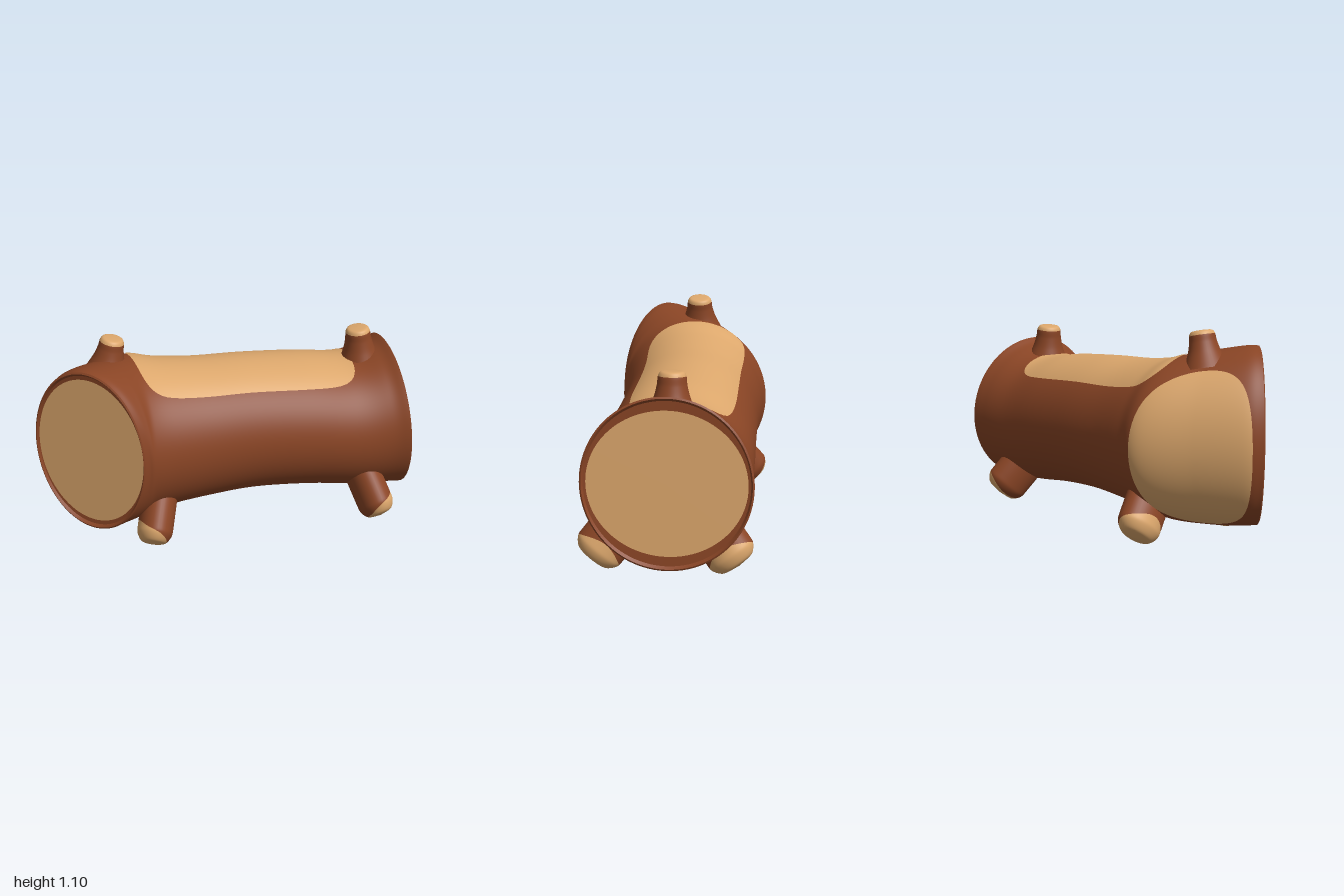
import * as THREE from 'three';
import { mergeVertices, toCreasedNormals } from 'three/addons/utils/BufferGeometryUtils.js';

const V = (x, y, z) => new THREE.Vector3(x, y, z);
const TAU = Math.PI * 2;

// Smooth surface from f(u, v), with u and v running over 0..1
function surface(f, nu, nv) {
  const pos = [], index = [];
  for (let i = 0; i <= nu; i++)
    for (let j = 0; j <= nv; j++) pos.push(...f(i / nu, (j % nv) / nv).toArray());
  for (let i = 0; i < nu; i++)
    for (let j = 0; j < nv; j++) {
      const a = i * (nv + 1) + j, b = a + nv + 1;
      index.push(a, b, a + 1, b, b + 1, a + 1);
    }
  let g = new THREE.BufferGeometry();
  g.setAttribute('position', new THREE.Float32BufferAttribute(pos, 3));
  g.setIndex(index);
  g = mergeVertices(g, 1e-5);
  g.computeVertexNormals();
  return g;
}

// Trunk sections: front x, z; back x, z; bottom y, top y, lean of the top in x
const SECTIONS = [
  [-0.485, 0.405, -1, -0.005, 0.11, 1.03, 0],
  [-0.46, 0.4, -0.94, -0.09, 0.105, 1.03, 0],
  [-0.44, 0.4, -0.75, -0.245, 0.1, 1.01, 0],
  [-0.41, 0.395, -0.52, -0.415, 0.11, 0.98, 0],
  [-0.3, 0.375, -0.36, -0.415, 0.13, 0.945, 0],
  [-0.1, 0.35, -0.13, -0.405, 0.15, 0.92, 0],
  [0.15, 0.34, 0.15, -0.41, 0.165, 0.91, 0],
  [0.45, 0.35, 0.45, -0.42, 0.15, 0.89, 0],
  [0.7, 0.36, 0.7, -0.425, 0.12, 0.865, 0],
  [0.87, 0.37, 0.87, -0.435, 0.105, 0.91, -0.01],
  [0.965, 0.39, 0.965, -0.445, 0.1, 0.95, -0.035],
];
const LAST = SECTIONS.length - 1;
const rail = (pick) => new THREE.CatmullRomCurve3(SECTIONS.map(pick), false, 'catmullrom', 0.5);
const frontRail = rail((s) => V(s[0], 0, s[1]));
const backRail = rail((s) => V(s[2], 0, s[3]));
const heightRail = rail((s) => V(s[4], s[5], s[6]));

// Centre, sideways and upward half axes of the trunk section at t
function section(t) {
  const f = frontRail.getPoint(t), b = backRail.getPoint(t), h = heightRail.getPoint(t);
  const centre = f.clone().add(b).multiplyScalar(0.5).setY((h.x + h.y) / 2);
  return { centre, side: f.sub(b).multiplyScalar(0.5), up: V(h.z, (h.y - h.x) / 2, 0) };
}
function trunkPoint(t, a) {
  const { centre, side, up } = section(t);
  return centre.addScaledVector(side, Math.cos(a)).addScaledVector(up, Math.sin(a));
}

// Rounded patch lying just above the trunk, placed in section number and angle
function patch(t0, dt, a0, da, power) {
  return surface((r, v) => {
    const c = Math.cos(v * TAU), s = Math.sin(v * TAU);
    const k = r / Math.pow(Math.abs(c) ** power + Math.abs(s) ** power, 1 / power);
    const t = (t0 + dt * k * c) / LAST, a = a0 + da * k * s, e = 0.002;
    const along = trunkPoint(t + e, a).sub(trunkPoint(t - e, a));
    const around = trunkPoint(t, a + e).sub(trunkPoint(t, a - e));
    return trunkPoint(t, a).addScaledVector(along.cross(around).normalize(), 0.004);
  }, 28, 96);
}

// Rings over a cut end; each step is [side scale, up scale, height above the cut]
function endRings(t, steps) {
  const { centre, side, up } = section(t);
  const normal = up.clone().cross(side).normalize();
  if (t === 0) normal.negate();
  const list = t === 0 ? [...steps].reverse() : steps;
  const n = list.length - 1;
  return surface((u, v) => {
    const [ss, su, h] = list[Math.round(u * n)];
    return centre.clone().addScaledVector(side, ss * Math.cos(v * TAU))
      .addScaledVector(up, su * Math.sin(v * TAU)).addScaledVector(normal, h);
  }, n, 96);
}

export function createModel() {
  const model = new THREE.Group();
  model.name = 'log';
  const bark = new THREE.MeshStandardMaterial({ color: 0x8a4525 });
  bark.name = 'bark brown';
  const wood = new THREE.MeshStandardMaterial({ color: 0xdca76c });
  wood.name = 'bare wood tan';
  const add = (name, geometry, material, parent = model) => {
    const mesh = new THREE.Mesh(geometry, material);
    mesh.name = name;
    parent.add(mesh);
  };

  // Trunk and its bare patches
  add('trunk', surface((u, v) => trunkPoint(u, v * TAU), 100, 96), bark);
  add('topPatch', patch(5.55, 2.6, Math.PI / 2 + 0.06, 0.76, 4.5), wood);
  add('backPatch', patch(1.95, 1.3, Math.PI + 0.12, 1.05, 2.3), wood);

  // Cut ends: bark lip with a slightly sunken wood disc
  for (const [name, t, ss, su] of [['slantedEnd', 0, 0.95, 0.9], ['straightEnd', 1, 0.93, 0.84]]) {
    const lip = [[1, 1, 0], [0.98, 0.98, 0.005], [0.96, 0.95, -0.008], [ss, su, -0.01]];
    add(name + 'Lip', toCreasedNormals(endRings(t, lip), 0.6), bark);
    add(name + 'Wood', endRings(t, [[ss, su, -0.01], [0, 0, -0.01]]), wood);
  }

  // Stub with a bare tip; tipStart(angle) is where the bark ends along the profile
  function stub(name, base, tip, rx, rz, profile, tipStart) {
    const group = new THREE.Group();
    group.name = name;
    const axis = tip.clone().sub(base), y = axis.clone().normalize();
    const x = V(1, 0, 0).addScaledVector(y, -y.x).normalize();
    const z = x.clone().cross(y);
    const curve = new THREE.CatmullRomCurve3(profile.map(([r, h]) => V(r, h, 0)), false, 'catmullrom', 0.4);
    const point = (s, a) => {
      const p = curve.getPoint(s);
      return base.clone().addScaledVector(axis, p.y)
        .addScaledVector(x, p.x * rx * Math.cos(a)).addScaledVector(z, p.x * rz * Math.sin(a));
    };
    add(name + 'Bark', surface((u, v) => point(u * tipStart(v * TAU), v * TAU), 20, 40), bark, group);
    add(name + 'Tip', surface((u, v) => {
      const s = tipStart(v * TAU);
      return point(s + (1 - s) * u, v * TAU);
    }, 20, 40), wood, group);
    model.add(group);
  }

  // Four legs, splayed outwards, bare on the outer side of each foot
  const legProfile = [[1, 0], [1, 0.68], [0.96, 0.85], [0.66, 0.98], [0, 1.02]];
  for (const [end, baseX, tipX, out] of [['right', -0.365, -0.45, -1], ['left', 0.745, 0.825, 1]])
    for (const [face, sz] of [['front', 1], ['back', -1]])
      stub(`${face}${end === 'left' ? 'Left' : 'Right'}Leg`,
        V(baseX, 0.31, 0.17 * sz), V(tipX, 0.07, 0.365 * sz), 0.095, 0.13, legProfile,
        (a) => 0.47 - 0.24 * out * Math.cos(a));

  // Two branch knobs on top
  const knobProfile = [[1.75, 0], [1.25, 0.42], [1.04, 0.7], [0.97, 0.9], [0.75, 1], [0, 1.02]];
  stub('rightKnob', V(-0.605, 0.92, -0.03), V(-0.565, 1.105, -0.03), 0.065, 0.07, knobProfile, () => 0.58);
  stub('leftKnob', V(0.8, 0.82, -0.035), V(0.775, 1.03, -0.035), 0.068, 0.07, knobProfile, () => 0.6);

  return model;
}
